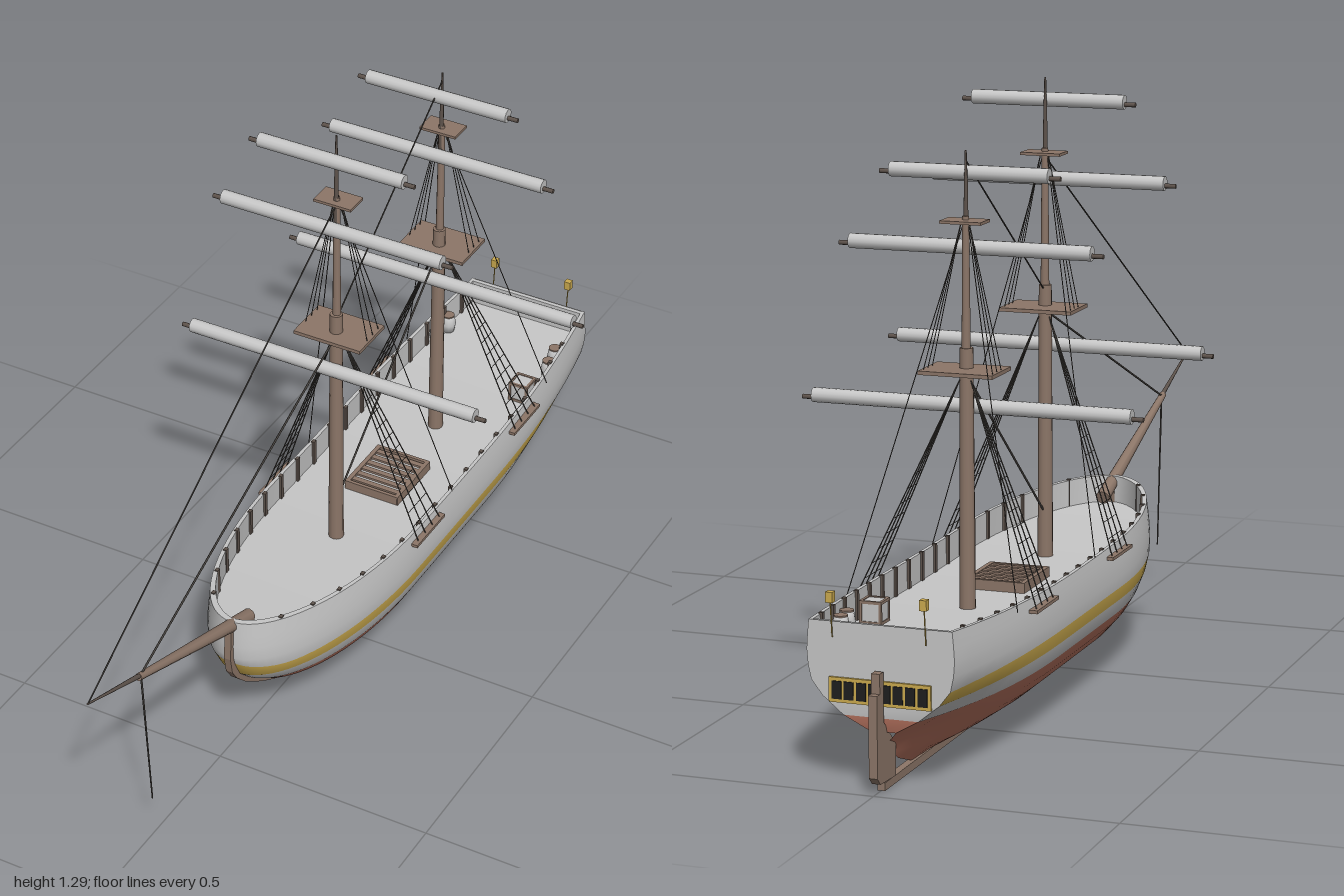
import * as THREE from 'three';

const mat = (name, color, side = THREE.FrontSide) => {
  const m = new THREE.MeshStandardMaterial({ color, side });
  m.name = name;
  return m;
};

// piecewise linear lookup in [[key, value], ...]
const lookup = (table, k) => {
  if (k <= table[0][0]) return table[0][1];
  for (let i = 1; i < table.length; i++) {
    const [k0, v0] = table[i - 1], [k1, v1] = table[i];
    if (k <= k1) return v0 + (v1 - v0) * (k - k0) / (k1 - k0);
  }
  return table[table.length - 1][1];
};

// hull lines, all by height
const BEAM = [[.015, .006], [.025, .038], [.04, .07], [.06, .1], [.085, .13], [.115, .156], [.145, .173],
  [.18, .185], [.21, .19], [.24, .191], [.28, .188], [.34, .178]];
const BOW = [[.015, .15], [.03, .2], [.05, .245], [.085, .305], [.115, .35], [.145, .39], [.18, .425], [.21, .445], [.25, .452], [.34, .445]];
const STERN = [[.015, -.8], [.04, -.87], [.07, -.915], [.1, -.94], [.13, -.96]];
const TRANSOM = [[.1, 0], [.13, .35], [.17, .62], [.21, .76], [.26, .81], [.34, .83]];
const sheer = z => .308 + (z > -.3 ? .028 * ((z + .3) / .76) ** 2 : .022 * ((z + .3) / .66) ** 2);

function half(y, z) {
  const b = lookup(BEAM, y), zb = lookup(BOW, y), zs = lookup(STERN, y);
  const z0 = -.06, z1 = -.4;
  if (z > z0) return b * Math.sqrt(Math.max(0, 1 - ((z - z0) / (zb - z0)) ** 2));
  if (z < z1) return b * (1 - (1 - lookup(TRANSOM, y)) * Math.min(1, (z1 - z) / (z1 - zs)) ** 2.3);
  return b;
}

// surface through rows of points; groups give a material index per strip
function skin(rows, materialOf) {
  const n = rows[0].length, pos = rows.flat(2), index = [];
  const g = new THREE.BufferGeometry();
  for (let i = 0; i < rows.length - 1; i++) {
    for (let j = 0; j < n - 1; j++) {
      const a = i * n + j, b = a + 1, c = a + n, d = c + 1;
      index.push(a, c, b, b, c, d);
    }
    if (materialOf) g.addGroup(i * (n - 1) * 6, (n - 1) * 6, materialOf[i]);
  }
  g.setAttribute('position', new THREE.Float32BufferAttribute(pos, 3));
  g.setIndex(index);
  g.computeVertexNormals();
  return g;
}

export function createModel() {
  const ship = new THREE.Group();
  ship.name = 'sailingShip';
  const grey = mat('paleGrey', 0xc6c6c6, THREE.DoubleSide), red = mat('bottomRed', 0xb87460);
  const gold = mat('gold', 0xcbaa4e), wood = mat('wood', 0x8c7668), dark = mat('darkWood', 0x5e534c);
  const rope = mat('rope', 0x484440), black = mat('glassBlack', 0x1e1e1e);

  const add = (name, geo, m, x = 0, y = 0, z = 0, parent = ship) => {
    const mesh = new THREE.Mesh(geo, m);
    mesh.name = name;
    mesh.position.set(x, y, z);
    parent.add(mesh);
    return mesh;
  };
  const box = (name, w, h, d, m, x, y, z, parent) => add(name, new THREE.BoxGeometry(w, h, d), m, x, y, z, parent);
  const rod = (name, a, b, r0, r1, m, sides = 5, parent = ship) => {
    const A = new THREE.Vector3(...a), B = new THREE.Vector3(...b), dir = B.clone().sub(A);
    const mesh = add(name, new THREE.CylinderGeometry(r1, r0, dir.length(), sides), m, 0, 0, 0, parent);
    mesh.position.copy(A).add(B).multiplyScalar(.5);
    mesh.quaternion.setFromUnitVectors(new THREE.Vector3(0, 1, 0), dir.normalize());
  };
  const line = (name, a, b, r, parent) => rod(name, a, b, r, r, rope, 5, parent);
  const plate = (name, pts, thick, m) => {
    const g = new THREE.ExtrudeGeometry(new THREE.Shape(pts.map(p => new THREE.Vector2(...p))), { depth: thick, bevelEnabled: false });
    g.rotateY(-Math.PI / 2).translate(thick / 2, 0, 0);
    add(name, g, m);
  };

  // hull: waterline rows wrapped from the left stern round the bow to the right stern
  const N = 36;
  const wrap = f => {
    const left = [];
    for (let j = 0; j <= N; j++) left.push(f(Math.sin(j / N * Math.PI / 2)));
    return [...left, ...left.slice(0, -1).reverse().map(([x, y, z]) => [-x, y, z])];
  };
  const hullRow = (y, v) => wrap(s => {
    const zs = lookup(STERN, y), z = zs + (lookup(BOW, y) - zs) * s;
    const h = v === undefined ? y : .21 + (sheer(z) - .21) * v;
    return [s === 1 ? 0 : half(h, Math.min(z, lookup(BOW, h))), h, z];
  });
  const rows = [.015, .025, .04, .06, .085, .115, .145, .18, .21].map(y => hullRow(y));
  for (const v of [.25, .5, .75, 1]) rows.push(hullRow(.21 + .12 * v, v));
  // the gold band lifts slightly at the stem
  for (const p of rows[8]) p[1] += .013 * Math.max(0, 1 - Math.abs(p[0]) / .1) * (p[2] > 0 ? 1 : 0);
  add('hull', skin(rows, [0, 0, 0, 0, 0, 0, 1, 2, 1, 1, 1, 1]), [red, grey, gold]);

  // flat stern, red below the waterline
  const sternRows = rows.slice(5).map(r => [r[r.length - 1], r[0]]);
  add('transom', skin(sternRows, [0, 1, 1, 1, 1, 1, 1]), [red, grey]);

  // bulwark top, inner side and deck
  const top = rows[rows.length - 1];
  const inset = ([x, y, z], drop) => [Math.sign(x) * Math.max(Math.abs(x) - .008, 0), y - drop, z - .012 * Math.max(0, z / .45)];
  const inner = top.map(p => inset(p, 0)), foot = top.map(p => inset(p, .06));
  add('bulwarkTop', skin([top, inner]), grey);
  add('bulwarkInside', skin([inner, foot]), grey);
  add('deck', skin([foot.slice(0, N + 1), foot.slice(N).reverse()]), grey);
  box('sternBulwark', .29, .062, .01, grey, 0, .298, -.954);
  for (const s of [1, -1])
    for (let z = -.9; z < .42; z += .075)
      box('stanchion', .008, .062, .01, dark, s * (half(sheer(z), z) - .009), sheer(z) - .028, z);

  // keel and curved stem
  const ys = [.03, .05, .085, .115, .145, .18, .21, .25, .32];
  plate('keelAndStem', [[-.96, 0], [.14, 0], ...ys.map(y => [lookup(BOW, y) + .01, y - .006]),
    ...ys.slice().reverse().map(y => [lookup(BOW, y) - .02, y]), [.12, .02], [-.96, .016]], .016, wood);

  // rudder
  plate('rudder', [[-.905, .016], [-.985, .02], [-1, .035], [-1, .2], [-.985, .2], [-.985, .24], [-.966, .24],
    [-.966, .14], [-.945, .12], [-.905, .08]], .018, wood);

  // stern windows and lanterns
  box('windowFrame', .212, .05, .006, gold, 0, .195, -.962);
  for (let i = 0; i < 8; i++) box('windowPane', .02, .036, .004, black, (i - 3.5) * .0255, .195, -.965);
  for (const s of [1, -1]) {
    rod('lanternPost', [s * .097, .3, -.966], [s * .097, .375, -.974], .0014, .0014, gold);
    box('lantern', .015, .021, .015, gold, s * .097, .382, -.974);
  }

  // bowsprit, jibboom and striker
  rod('bowsprit', [0, .297, .37], [0, .452, .81], .016, .008, wood, 10);
  rod('jibboom', [0, .44, .77], [0, .522, .998], .006, .002, dark, 8);
  rod('striker', [0, .447, .8], [0, .097, .775], .0022, .0016, rope, 6);

  // masts with yards, tops and standing rigging
  const buildMast = (name, z, h) => {
    const mast = new THREE.Group();
    mast.name = name;
    ship.add(mast);
    rod('lowerMast', [0, .24, z], [0, h.lower, z], .017, .014, wood, 12, mast);
    rod('topmast', [0, h.lower - .1, z - .002], [0, h.cross + .01, z - .002], .01, .007, wood, 10, mast);
    rod('topgallantMast', [0, h.cross - .06, z], [0, h.tip - .05, z], .006, .004, dark, 8, mast);
    rod('mastTip', [0, h.tip - .06, z], [0, h.tip, z], .0035, .002, dark, 6, mast);
    box('topPlatform', .16, .008, .11, wood, 0, h.top, z - .012, mast);
    box('crosstree', .088, .006, .055, wood, 0, h.cross, z - .008, mast);
    h.yards.forEach((y, i) => {
      const w = [.345, .26, .17][i], zf = z + .021;
      rod('yard', [-w - .024, y - .005, zf], [w + .024, y - .005, zf], .005, .005, dark, 8, mast);
      rod('furledSail', [-w, y, zf], [w, y, zf], .0155, .0155, grey, 14, mast);
    });
    for (const s of [1, -1]) {
      box('channel', .018, .007, .13, wood, s * .191, .29, z - .07, mast);
      const apex = [s * .012, h.top - .02, z - .008];
      const feet = [0, 1, 2, 3].map(i => [s * .193, .293, z - .022 - i * .033]);
      feet.forEach(f => line('shroud', f, apex, .0014, mast));
      const at = (f, t) => f.map((v, i) => v + (apex[i] - v) * t);
      for (let i = 1; i <= 11; i++) line('ratline', at(feet[0], i * .07), at(feet[3], i * .07), .0008, mast);
      for (const dz of [.0, -.025, -.05])
        line('topmastShroud', [s * .075, h.top, z + dz], [s * .008, h.cross, z - .005], .001, mast);
      line('backstay', [s * .183, .305, z - .203], [s * .004, h.cross, z], .0011, mast);
    }
  };
  buildMast('foremast', -.015, { lower: .845, top: .797, cross: 1.128, tip: 1.288, yards: [.713, 1.071, 1.239] });
  buildMast('mainmast', -.487, { lower: .79, top: .745, cross: 1.048, tip: 1.19, yards: [.667, .992, 1.143] });

  // stays
  line('foreTopStay', [0, .522, .995], [0, 1.12, -.015], .0017);
  line('foreStay', [0, .452, .8], [0, .79, -.015], .0024);
  line('mainStay', [0, .345, -.015], [0, .735, -.487], .0024);
  line('mainTopStay', [0, .83, -.015], [0, 1.17, -.487], .0017);

  // deck gear: hatch grating, barrels and a crate
  const dy = z => sheer(z) - .06;
  box('hatchBase', .13, .016, .15, grey, 0, dy(-.255) + .008, -.255);
  for (const s of [1, -1]) {
    box('hatchSide', .01, .022, .155, wood, s * .062, dy(-.255) + .011, -.255);
    box('hatchEnd', .13, .022, .008, wood, 0, dy(-.255) + .011, -.255 + s * .074);
  }
  for (let i = 0; i < 6; i++) box('hatchSlat', .12, .006, .013, wood, 0, dy(-.255) + .018, -.3125 + i * .023);
  const barrelProfile = [[0, 0], [.014, 0], [.018, .02], [.014, .042], [0, .042]].map(p => new THREE.Vector2(...p));
  for (const [x, z] of [[.138, -.825], [.146, -.775], [-.143, -.825], [-.148, -.775]]) {
    add('barrel', new THREE.LatheGeometry(barrelProfile, 12), grey, x, dy(z), z);
    add('barrelLid', new THREE.CylinderGeometry(.0145, .0145, .003, 12), wood, x, dy(z) + .043, z);
  }
  const size = .048, cx = .128, cy = dy(-.675) + size / 2, cz = -.675, e = size / 2 - .003;
  box('crate', size - .004, size - .004, size - .004, grey, cx, cy, cz);
  for (const a of [e, -e]) for (const b of [e, -e]) {
    box('crateEdge', size, .006, .006, wood, cx, cy + a, cz + b);
    box('crateEdge', .006, size, .006, wood, cx + a, cy, cz + b);
    box('crateEdge', .006, .006, size, wood, cx + a, cy + b, cz);
  }
  return ship;
}
